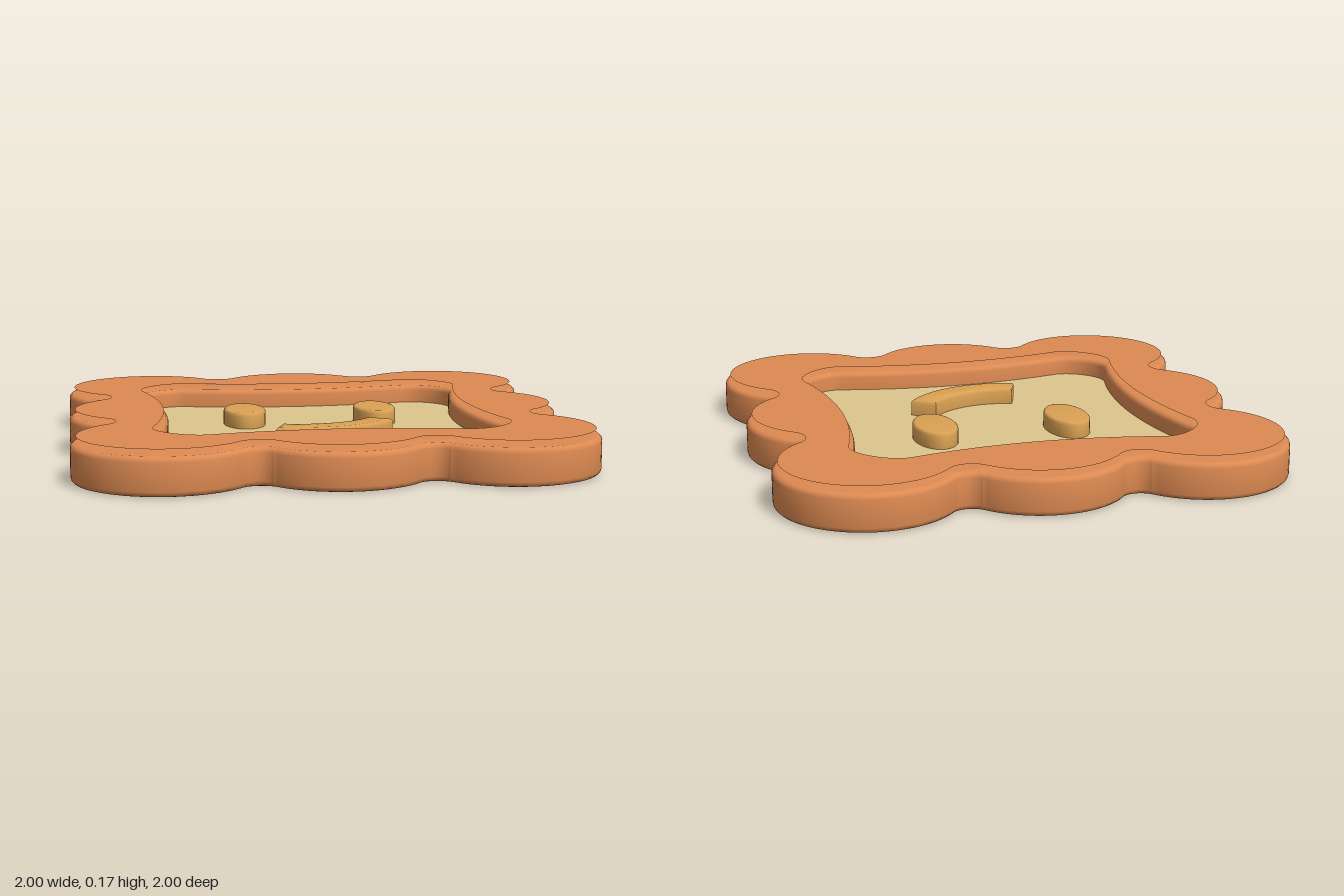
import * as THREE from 'three';
import { toCreasedNormals } from 'three/addons/utils/BufferGeometryUtils.js';

const mat = (name, color, side = THREE.FrontSide) => {
  const m = new THREE.MeshStandardMaterial({ color, side });
  m.name = name;
  return m;
};

// Scalloped outline: corner and middle lobes joined by small fillets
function outline(inset = 0) {
  const shape = new THREE.Shape();
  const rad = Math.PI / 180, lobe = 0.35 - inset, notch = 0.068 + inset;
  for (let k = 0; k < 4; k++) {
    const turn = k * Math.PI / 2, c = Math.cos(turn), s = Math.sin(turn);
    const arc = (x, y, r, a, b, clockwise) =>
      shape.absarc(x * c - y * s, x * s + y * c, r, a * rad + turn, b * rad + turn, clockwise);
    arc(0.65, 0.65, lobe, -51, 141, false);
    arc(0.325, 0.913, notch, -39, -141, true);
    arc(0, 0.65, lobe, 39, 141, false);
    arc(-0.325, 0.913, notch, -39, -141, true);
  }
  return shape;
}

// Window with inward-bowed sides and rounded corners
function windowPath(path, grow = 0) {
  const e = 0.67 + grow, m = 0.54 + grow, t = 0.694 + grow;
  path.moveTo(e, -0.49);
  for (let k = 0; k < 4; k++) {
    const c = Math.round(Math.cos(k * Math.PI / 2)), s = Math.round(Math.sin(k * Math.PI / 2));
    const p = (x, y) => [x * c - y * s, x * s + y * c];
    path.quadraticCurveTo(...p(m, 0), ...p(e, 0.49));
    path.bezierCurveTo(...p(t, 0.58), ...p(0.58, t), ...p(0.49, e));
  }
  return path;
}

// Extrude a flat shape upward from y0 to y1 with a rounded edge
function slab(shape, y0, y1, bevel, crease = 0.6) {
  const g = new THREE.ExtrudeGeometry(shape, {
    depth: y1 - y0 - 2 * bevel, bevelEnabled: bevel > 0, bevelSize: bevel,
    bevelThickness: bevel, bevelOffset: -bevel, bevelSegments: 3, curveSegments: 20,
  });
  g.translate(0, 0, y0 + bevel);
  g.rotateX(-Math.PI / 2);
  return toCreasedNormals(g, crease);
}

export function createModel() {
  const group = new THREE.Group();
  const crust = mat('crust', 0xdd8a52);
  const crustTop = mat('crust top', 0xdd8a52, THREE.DoubleSide);
  const cream = mat('cream', 0xdcc68d);
  const caramel = mat('caramel', 0xdaa153);
  const add = (name, geometry, material) => {
    const mesh = new THREE.Mesh(geometry, material);
    mesh.name = name;
    group.add(mesh);
    return mesh;
  };

  // Scalloped frame
  const frame = outline();
  frame.holes.push(windowPath(new THREE.Path()));
  add('frame', slab(frame, 0, 0.145, 0.02), crust);

  // Thin sheet just above the frame
  const sheet = outline(0.022);
  sheet.holes.push(windowPath(new THREE.Path(), 0.018));
  const sheetGeometry = new THREE.ShapeGeometry(sheet, 20);
  sheetGeometry.rotateX(-Math.PI / 2);
  add('frameTop', sheetGeometry, crustTop).position.y = 0.17;

  // Filling inside the window
  add('filling', slab(windowPath(new THREE.Shape(), 0.006), 0.015, 0.07, 0), cream);

  // Eyes
  for (const side of [-1, 1]) {
    const eye = new THREE.Shape();
    eye.absellipse(side * 0.275, 0.165, 0.087, 0.15, 0, Math.PI * 2);
    add(side > 0 ? 'leftEye' : 'rightEye', slab(eye, 0.05, 0.135, 0.012), caramel);
  }

  // Lopsided smile
  const mouth = new THREE.Shape();
  const a = -110 * Math.PI / 180, b = -34 * Math.PI / 180;
  mouth.absarc(-0.06, 0.04, 0.42, a, b, false);
  mouth.absarc(-0.06, 0.04, 0.31, b, a, true);
  add('mouth', slab(mouth, 0.05, 0.135, 0.012), caramel);

  return group;
}
